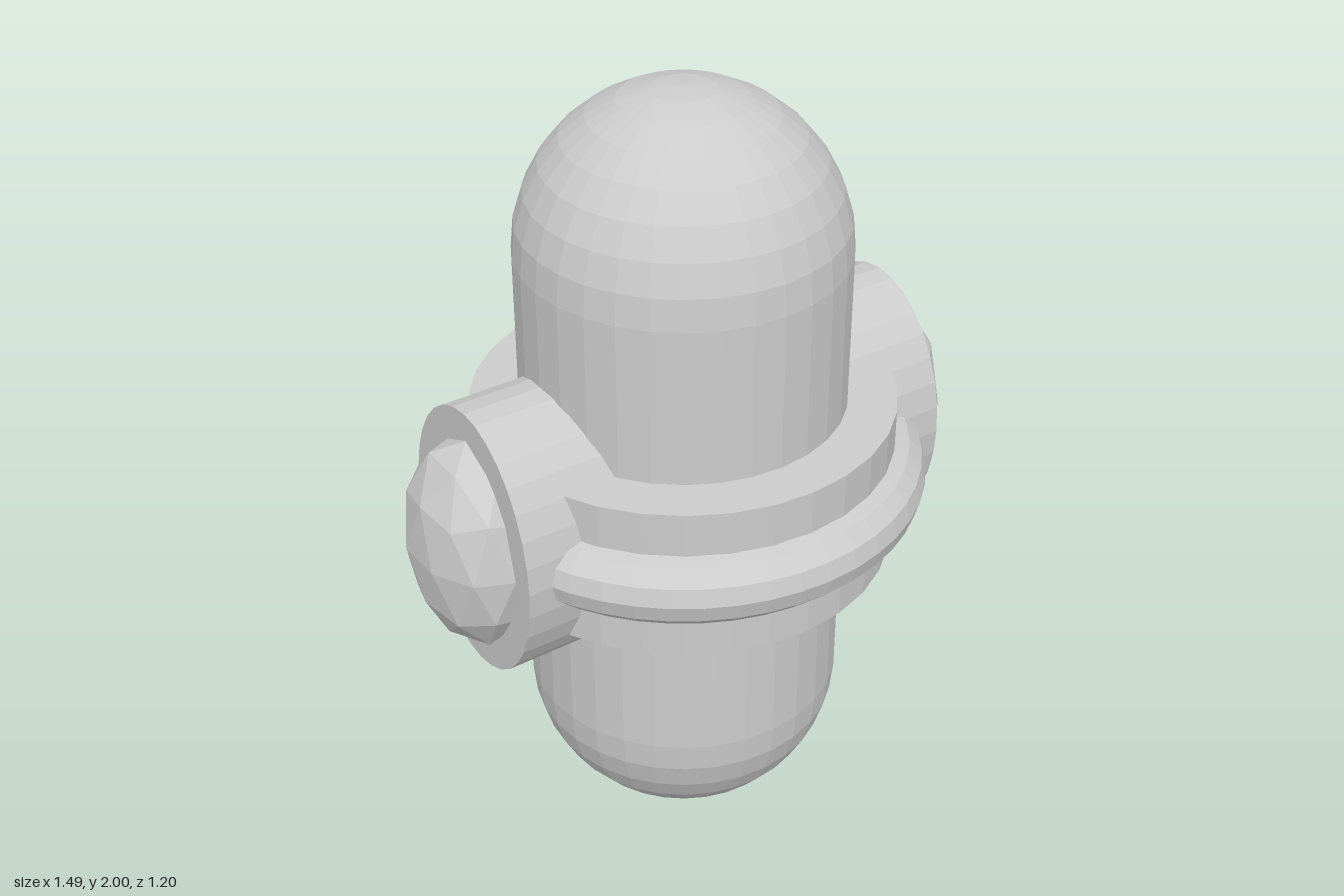
import * as THREE from 'three';

export function createModel() {
  const model = new THREE.Group();
  const material = new THREE.MeshStandardMaterial({ color: 0xcccccc, flatShading: true });

  const add = (name, geometry, x = 0, y = 1) => {
    const mesh = new THREE.Mesh(geometry, material);
    mesh.name = name;
    mesh.position.set(x, y, 0);
    model.add(mesh);
    return mesh;
  };

  // Upright body with hemispherical ends
  add('capsuleBody', new THREE.CapsuleGeometry(0.4, 1.2, 8, 32));

  // Wide band and rounded ring around the waist
  add('waistBand', new THREE.CylinderGeometry(0.52, 0.52, 0.4, 32));
  add('waistRing', new THREE.TorusGeometry(0.51, 0.09, 12, 48).rotateX(Math.PI / 2));

  // Oval bosses, each holding a faceted gem; one icosahedron corner points up
  const tilt = -Math.atan(2 / (1 + Math.sqrt(5)));
  for (const [side, s] of [['left', 1], ['right', -1]]) {
    const boss = new THREE.CylinderGeometry(1, 1, 0.6, 32)
      .rotateZ(Math.PI / 2)
      .scale(1, 0.353, 0.26);
    add(side + 'Boss', boss, s * 0.3);

    const gem = new THREE.IcosahedronGeometry(1, 1)
      .rotateZ(tilt)
      .scale(0.15, 0.28, 0.2);
    add(side + 'Gem', gem, s * 0.6);
  }

  return model;
}
